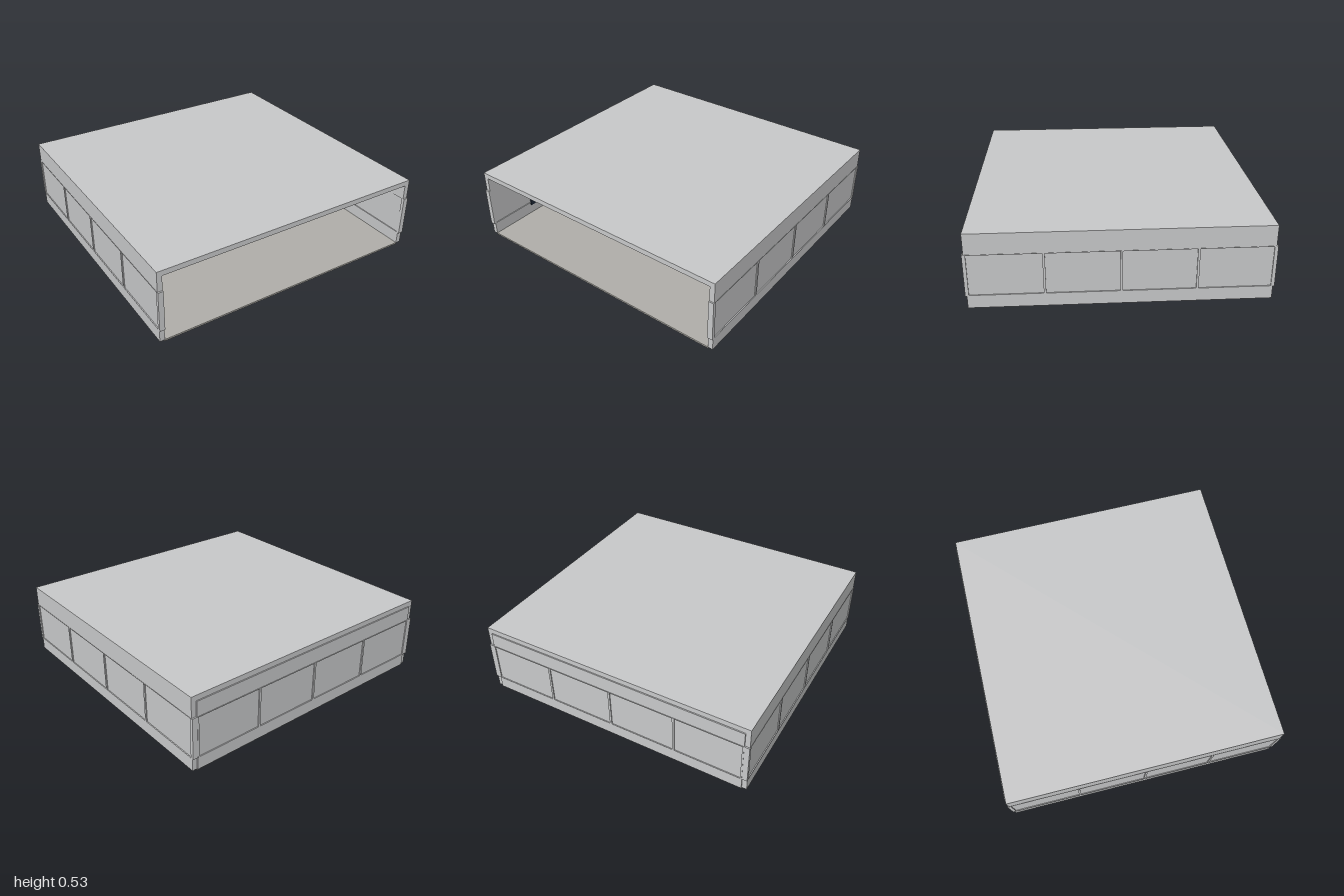
import * as THREE from 'three';

const mat = (name, color) => {
  const m = new THREE.MeshStandardMaterial({ color });
  m.name = name;
  return m;
};

export function createModel() {
  const wall = mat('light grey', 0xc8c9ca);
  const floorMat = mat('warm grey floor', 0xb0aea9);
  const navy = mat('dark navy', 0x1f2a3a);

  const model = new THREE.Group();
  model.name = 'showroom';

  // box given by its min and max on each axis
  function box(parent, name, material, x0, x1, y0, y1, z0, z1) {
    const mesh = new THREE.Mesh(new THREE.BoxGeometry(x1 - x0, y1 - y0, z1 - z0), material);
    mesh.position.set((x0 + x1) / 2, (y0 + y1) / 2, (z0 + z1) / 2);
    mesh.name = name;
    parent.add(mesh);
    return mesh;
  }

  // wall running along local x, outer face towards +z, with four framed panes
  function windowWall(name, half, bandHalf, outer, proud) {
    const g = new THREE.Group();
    g.name = name;
    const inner = outer - 0.035;
    box(g, 'lowerWall', wall, -half, half, 0.01, 0.097, inner, outer);
    box(g, 'upperWall', wall, -half, half, 0.385, 0.49, inner, outer);
    const edge = outer + proud;
    box(g, 'sill', wall, -bandHalf, bandHalf, 0.097, 0.101, inner, edge);
    box(g, 'head', wall, -bandHalf, bandHalf, 0.381, 0.385, inner, edge);
    const pitch = 0.48, frame = 0.0075;
    for (let i = 0; i <= 4; i++) {
      const x = (i - 2) * pitch;
      const x0 = i === 0 ? -bandHalf : x - frame;
      const x1 = i === 4 ? bandHalf : x + frame;
      box(g, 'mullion', wall, x0, x1, 0.101, 0.381, inner, edge);
      if (i < 4) {
        box(g, 'pane', wall, x + frame, x + pitch - frame, 0.101, 0.381, inner + 0.007, edge - 0.007);
      }
    }
    model.add(g);
    return g;
  }

  // shell
  box(model, 'floor', floorMat, -0.965, 0.965, 0, 0.012, -0.965, 0.965);
  box(model, 'roof', wall, -0.998, 0.998, 0.49, 0.527, -0.965, 0.965);
  windowWall('leftWall', 0.965, 0.975, 0.998, 0.002).rotation.y = Math.PI / 2;
  windowWall('rightWall', 0.965, 0.975, 0.998, 0.002).rotation.y = -Math.PI / 2;
  windowWall('backWall', 0.964, 0.964, 0.973, 0.004).rotation.y = Math.PI;

  // ceiling panels
  for (const x of [-0.57, 0, 0.57]) {
    box(model, 'ceilingPanel', wall, x - 0.06, x + 0.06, 0.486, 0.49, -0.6, 0.6);
  }

  // wall screens
  box(model, 'wallScreen', navy, -0.963, -0.955, 0.08, 0.385, 0.41, 0.62);
  box(model, 'wallScreen', navy, -0.963, -0.955, 0.08, 0.385, 0.0, 0.4);

  // inner room and standing display
  box(model, 'innerRoom', wall, 0.29, 0.72, 0.012, 0.24, -0.9, -0.35);
  box(model, 'standingDisplay', navy, 0.815, 0.895, 0.012, 0.205, -0.42, -0.39);

  // display tables with a stepped stand on each
  function table(name, x, standX) {
    const g = new THREE.Group();
    g.name = name;
    box(g, 'tableBase', wall, x - 0.06, x + 0.06, 0.012, 0.048, 0.04, 0.24);
    box(g, 'tableTop', wall, x - 0.068, x + 0.068, 0.048, 0.054, 0.03, 0.25);
    box(g, 'standBase', wall, standX - 0.022, standX + 0.022, 0.054, 0.068, 0.1, 0.18);
    model.add(g);
    return g;
  }
  const first = table('leftTable', 0.303, 0.303);
  const second = table('middleTable', -0.135, -0.135);
  first.userData.plain = true;
  box(second, 'standStep', wall, -0.147, -0.123, 0.068, 0.085, 0.12, 0.16);
  const post = new THREE.Mesh(new THREE.CylinderGeometry(0.006, 0.008, 0.065, 12), wall);
  post.position.set(-0.135, 0.117, 0.14);
  post.name = 'standPost';
  second.add(post);
  box(second, 'postCap', navy, -0.142, -0.128, 0.143, 0.152, 0.133, 0.147);

  return model;
}
